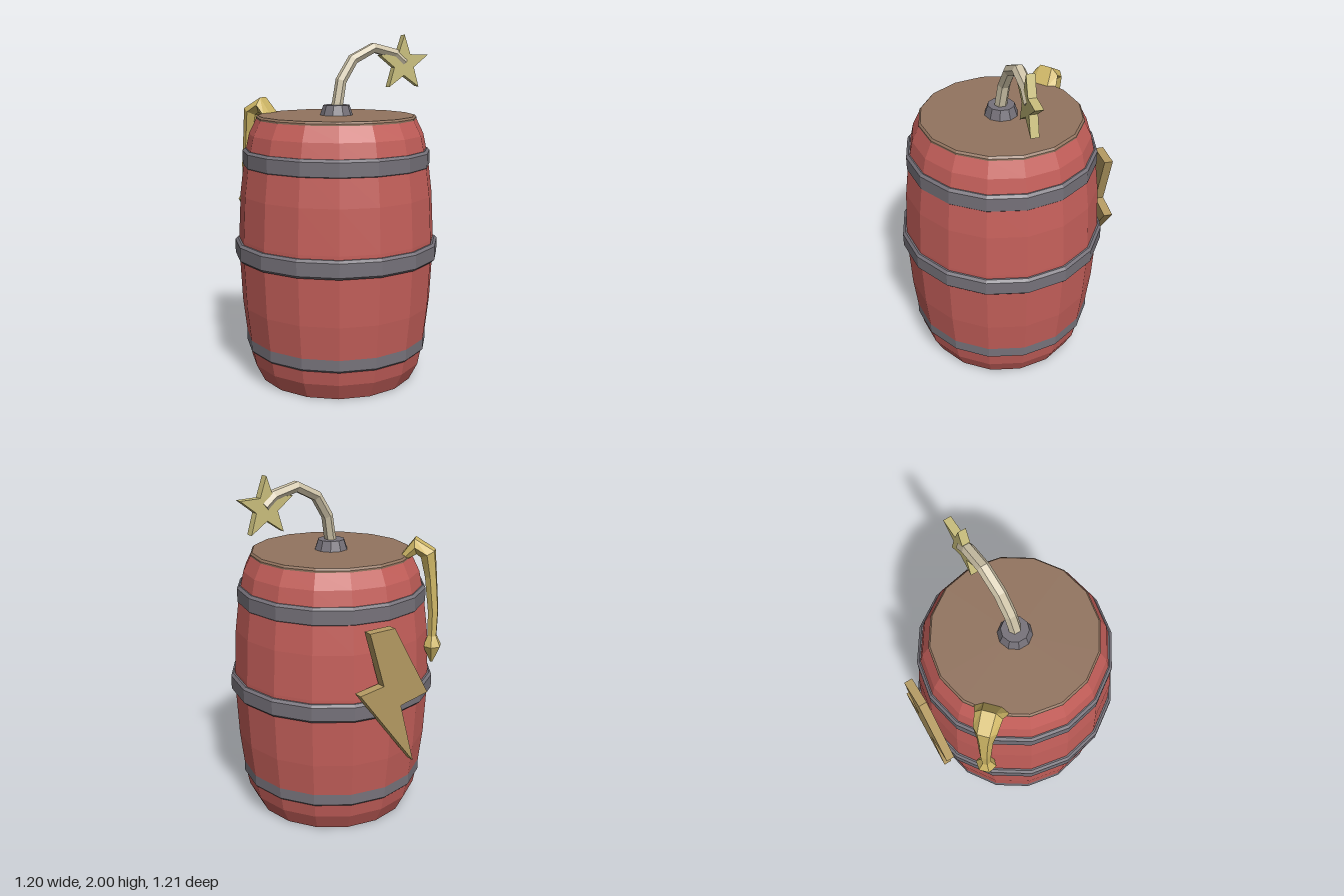
import * as THREE from 'three';

const mat = (name, color) => {
  const m = new THREE.MeshStandardMaterial({ color, flatShading: true });
  m.name = name;
  return m;
};

// Faceted loft along a path; each section is { p: centre, w: half width along side, h: half thickness }
function loft(sections, side, n) {
  const pos = [], idx = [], last = sections.length - 1;
  sections.forEach((s, i) => {
    const dir = sections[Math.min(i + 1, last)].p.clone().sub(sections[Math.max(i - 1, 0)].p).normalize();
    const up = dir.cross(side).normalize();
    for (let j = 0; j < n; j++) {
      const a = (j / n) * Math.PI * 2;
      const v = s.p.clone().addScaledVector(side, Math.cos(a) * s.w).addScaledVector(up, Math.sin(a) * s.h);
      pos.push(v.x, v.y, v.z);
    }
  });
  for (let i = 0; i < last; i++) {
    for (let j = 0; j < n; j++) {
      const k = (j + 1) % n, a = i * n, b = a + n;
      idx.push(a + j, a + k, b + k, a + j, b + k, b + j);
    }
  }
  // End caps
  for (let j = 1; j < n - 1; j++) {
    idx.push(0, j + 1, j, last * n, last * n + j, last * n + j + 1);
  }
  const g = new THREE.BufferGeometry();
  g.setAttribute('position', new THREE.Float32BufferAttribute(pos, 3));
  g.setIndex(idx);
  g.computeVertexNormals();
  return g;
}

const lathe = (pts) => new THREE.LatheGeometry(pts.map(([r, y]) => new THREE.Vector2(r, y)), 16);

function plate(points, depth) {
  const shape = new THREE.Shape(points.map(([x, y]) => new THREE.Vector2(x, y)));
  return new THREE.ExtrudeGeometry(shape, { depth, bevelEnabled: false });
}

export function createModel() {
  const model = new THREE.Group();
  model.name = 'barrelBomb';
  const red = mat('red wood', 0xc45f5a);
  const grey = mat('grey iron', 0x76727a);
  const brown = mat('brown lid', 0x92745f);
  const cream = mat('cream rope', 0xd0c5aa);
  const spark = mat('pale yellow', 0xcabf7d);
  const gold = mat('gold', 0xcfb766);
  const ochre = mat('ochre', 0xb59b63);

  const add = (name, geometry, material, parent = model) => {
    const m = new THREE.Mesh(geometry, material);
    m.name = name;
    parent.add(m);
    return m;
  };

  // Barrel with lid, hoops and fuse socket
  const barrel = new THREE.Group();
  barrel.name = 'barrel';
  barrel.position.set(-0.003, 0, 0.008);
  model.add(barrel);
  add('barrelBody', lathe([
    [0, 0], [0.46, 0], [0.51, 0.1], [0.535, 0.23], [0.56, 0.45], [0.573, 0.72],
    [0.573, 0.85], [0.56, 1.1], [0.535, 1.3], [0.505, 1.44], [0.463, 1.525], [0, 1.525],
  ]), red, barrel);
  add('lid', lathe([[0.463, 1.52], [0.463, 1.535], [0.453, 1.546], [0, 1.546]]), brown, barrel);
  [['lowerHoop', 0.232, 0.538], ['middleHoop', 0.777, 0.597], ['upperHoop', 1.303, 0.544]].forEach(([name, y, r]) => {
    const c = 0.014, h = 0.053;
    add(name, lathe([
      [r - 0.05, y - h], [r - c, y - h], [r, y - h + c],
      [r, y + h - c], [r - c, y + h], [r - 0.05, y + h],
    ]), grey, barrel);
  });
  const socket = add('fuseSocket', new THREE.CylinderGeometry(0.076, 0.096, 0.06, 10), grey, barrel);
  socket.position.y = 1.573;

  // Curved rope fuse
  const fusePath = [
    [-0.01, 1.56, 0.01], [0.005, 1.62, 0.01], [0.03, 1.74, 0], [0.11, 1.86, -0.01],
    [0.245, 1.925, -0.02], [0.39, 1.89, -0.025], [0.45, 1.84, -0.025],
  ];
  add('fuse', loft(fusePath.map((p) => ({ p: new THREE.Vector3(...p), w: 0.036, h: 0.032 })),
    new THREE.Vector3(0, 0, 1), 6), cream);

  // Five-pointed spark at the fuse end
  const starPoints = [];
  for (let i = 0; i < 10; i++) {
    const r = i % 2 ? 0.068 : 0.168, a = Math.PI / 2 + (i * Math.PI) / 5;
    starPoints.push([Math.cos(a) * r, Math.sin(a) * r]);
  }
  const star = add('sparkStar', plate(starPoints, 0.046), spark);
  star.position.set(0.442, 1.832, -0.046);

  // Lightning bolt on the back
  const bolt = add('lightningBolt', plate([
    [0.178, 1.24], [0.08, 0.925], [0.235, 0.905], [-0.14, 0.42],
    [-0.04, 0.785], [-0.228, 0.82], [0.015, 1.24],
  ], 0.05), ochre);
  bolt.position.z = -0.605;

  // Hooked clasp over the rim: flared top, thin stem, pointed knob
  const out = new THREE.Vector3(-0.68, 0, -0.73).normalize();
  const side = new THREE.Vector3(0, 1, 0).cross(out).normalize();
  const clasp = [
    [0.42, 1.53, 0.098, 0.022], [0.482, 1.592, 0.075, 0.05], [0.55, 1.55, 0.066, 0.048],
    [0.57, 1.42, 0.044, 0.036], [0.59, 1.22, 0.034, 0.032], [0.59, 1.07, 0.028, 0.028],
    [0.592, 1.01, 0.06, 0.055], [0.592, 0.91, 0.008, 0.008],
  ].map(([r, y, w, h]) => ({ p: out.clone().multiplyScalar(r).setY(y), w, h }));
  add('rimClasp', loft(clasp, side, 6), gold);

  return model;
}
